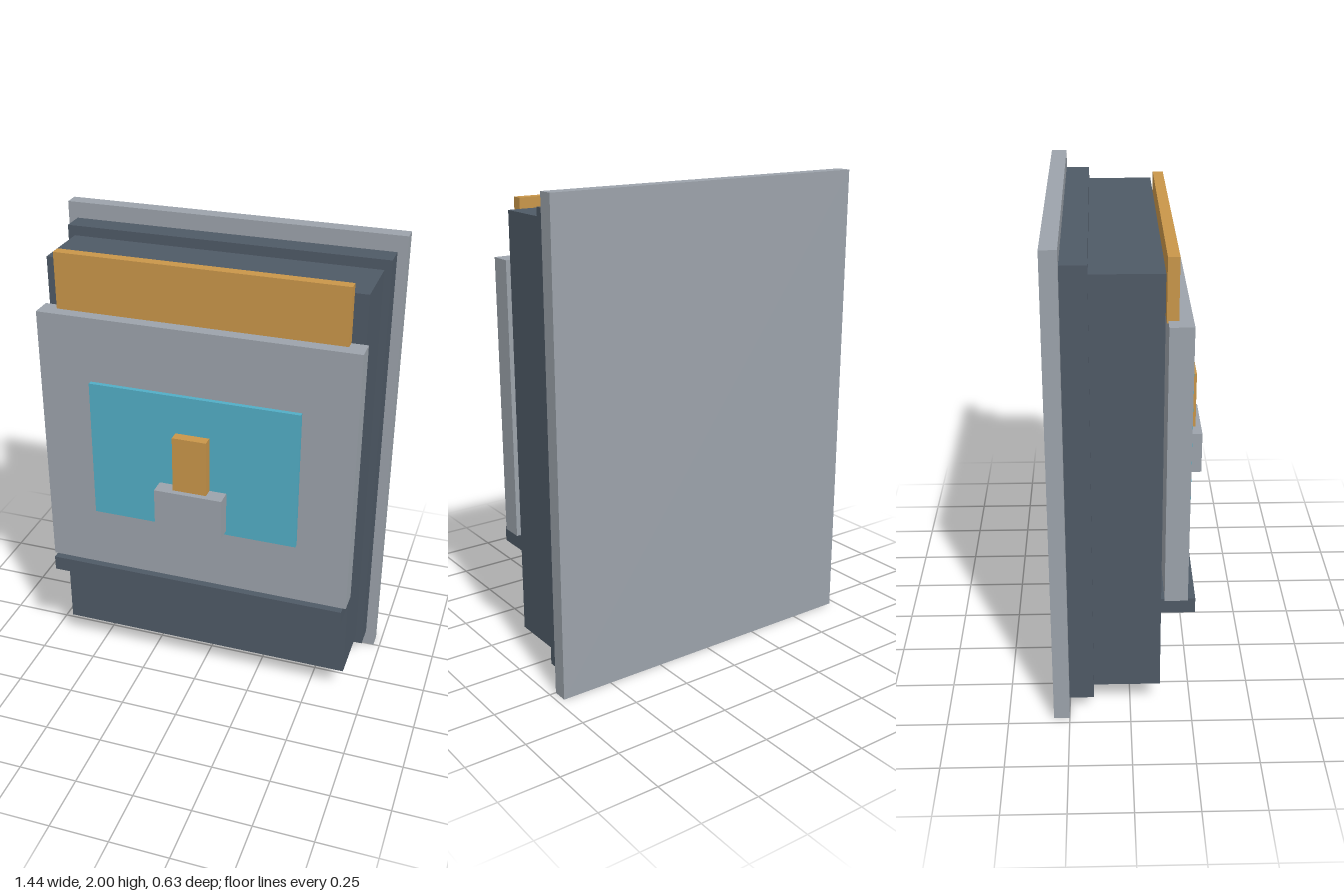
import * as THREE from 'three';

const flat = (name, color) => {
  const m = new THREE.MeshStandardMaterial({ color });
  m.name = name;
  return m;
};

export function createModel() {
  const group = new THREE.Group();
  group.name = 'wallUnit';
  const grey = flat('lightGrey', 0x9ca3ab);
  const slate = flat('slate', 0x4f5a66);
  const amber = flat('amber', 0xc99649);
  const cyan = flat('cyan', 0x52aec6);

  // Box centred on x = 0, given its half width and its y and z limits
  const block = (name, material, halfWidth, y0, y1, z0, z1) => {
    const mesh = new THREE.Mesh(new THREE.BoxGeometry(halfWidth * 2, y1 - y0, z1 - z0), material);
    mesh.position.set(0, (y0 + y1) / 2, (z0 + z1) / 2);
    mesh.name = name;
    group.add(mesh);
  };

  // Stepped housing
  block('backPlate', grey, 0.722, 0, 2, -0.315, -0.25);
  block('housingStep', slate, 0.682, 0.073, 1.932, -0.25, -0.15);
  block('housing', slate, 0.653, 0.115, 1.89, -0.15, 0.122);

  // Front panel with its hidden mount, lower ledge and header strip
  block('panelMount', slate, 0.32, 0.59, 1.25, 0.122, 0.135);
  block('frontPanel', grey, 0.665, 0.535, 1.695, 0.135, 0.227);
  block('ledge', slate, 0.652, 0.47, 0.535, 0.122, 0.258);
  block('headerStrip', amber, 0.598, 1.685, 1.932, 0.13, 0.174);

  // Screen and lever
  block('screen', cyan, 0.443, 0.81, 1.418, 0.227, 0.247);
  block('leverBase', grey, 0.145, 0.83, 1.01, 0.247, 0.315);
  block('lever', amber, 0.072, 1.01, 1.253, 0.247, 0.291);

  return group;
}
